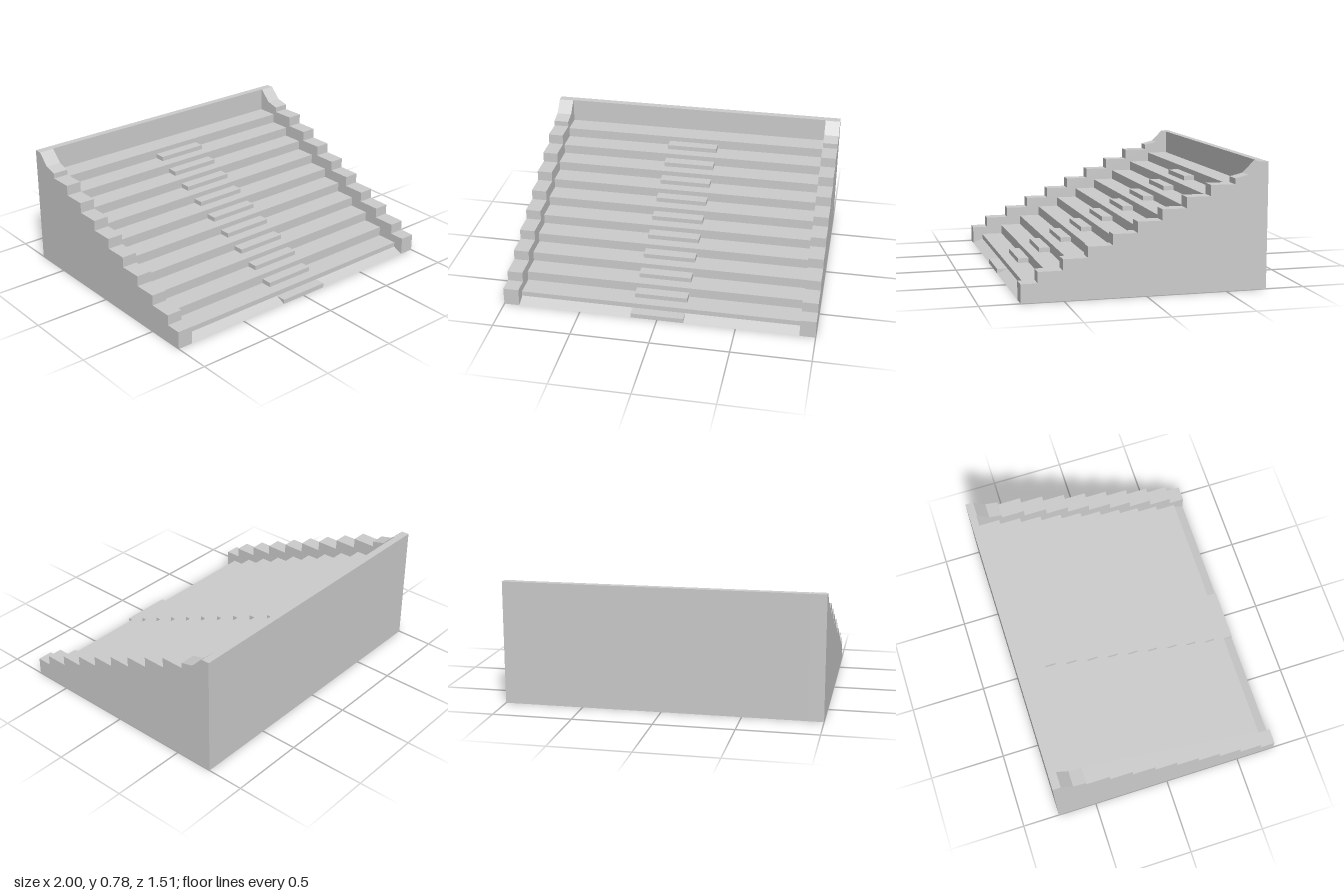
import * as THREE from 'three';

const STEPS = 10, RISE = 0.0625, RUN = 0.14, FIRST_Z = 0.69;
const FRONT = 0.757, BACK = -0.757, TOP = 0.78, INNER = 0.9;

export function createModel() {
  const group = new THREE.Group();
  const material = new THREE.MeshStandardMaterial({ color: 0xcccccc, flatShading: true });

  const add = (name, geometry) => {
    const mesh = new THREE.Mesh(geometry, material);
    mesh.name = name;
    group.add(mesh);
    return mesh;
  };

  // Sweep a side profile of [z, y] points along x, from x0 to x1
  const sweep = (name, points, x0, x1) => {
    const shape = new THREE.Shape(points.map(([z, y]) => new THREE.Vector2(-z, y)));
    const geometry = new THREE.ExtrudeGeometry(shape, { depth: x1 - x0, bevelEnabled: false });
    geometry.rotateY(Math.PI / 2);
    geometry.translate(x0, 0, 0);
    return add(name, geometry);
  };

  // Seating terraces: sloped front sill, ten tiers and the back wall
  const tiers = [[BACK, 0], [FRONT, 0], [FIRST_Z, 0.03]];
  for (let i = 0; i < STEPS; i++) {
    const z = FIRST_Z - i * RUN, y = (i + 1) * RISE;
    tiers.push([z, y], [z - RUN, y]);
  }
  tiers.push([FIRST_Z - STEPS * RUN, TOP], [BACK, TOP]);
  sweep('terraces', tiers, -INNER, INNER);

  // Stepped side walls, ending in a flared corner at the back
  const wall = [[BACK, 0], [FRONT, 0], [FRONT, 0.115]];
  for (let i = 0; i < 8; i++) {
    const z = 0.655 - i * 0.15, y = 0.115 + i * 0.067;
    wall.push([z, y], [z, y + 0.067]);
  }
  wall.push([-0.547, 0.65], [-0.547, 0.685], [-0.63, 0.705], [-0.705, TOP], [BACK, TOP]);
  sweep('rightWall', wall, -1, -INNER);
  sweep('leftWall', wall, INNER, 1);

  // Half-height aisle steps in front of each riser
  for (let i = 0; i < STEPS; i++) {
    const base = i * RISE;
    const depth = i === 0 ? FRONT - FIRST_Z : 0.07;
    const step = add('aisleStep', new THREE.BoxGeometry(0.34, 0.03, depth));
    step.position.set(0, base + 0.015, FIRST_Z - i * RUN + depth / 2);
  }

  return group;
}
